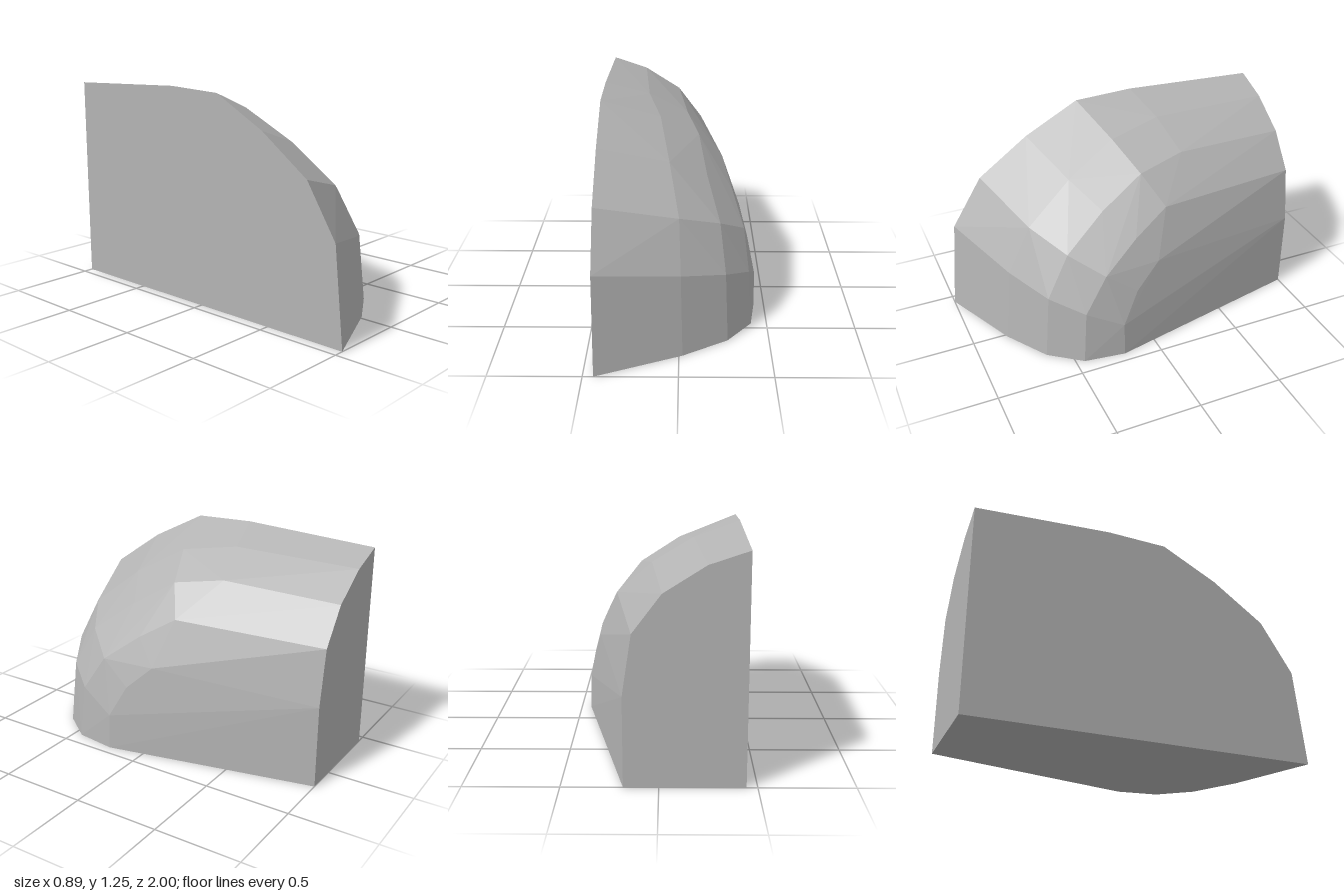
import * as THREE from 'three';
import { ConvexGeometry } from 'three/addons/geometries/ConvexGeometry.js';

export function createModel() {
  const group = new THREE.Group();
  group.name = 'cutBoulder';

  const stone = new THREE.MeshStandardMaterial({ color: 0xb4b4b4 });
  stone.name = 'stone grey';

  // Rings running from the flat cut side (x = -0.443) round to the outer flank
  const rings = [
    // base outline
    [[-0.443, 0, 1], [0.02, 0, 0.795], [0.27, 0, 0.635], [0.41, 0, 0.45], [0.443, 0, 0.21]],
    // lower shoulder
    [[-0.443, 0.555, 0.945], [0.01, 0.455, 0.75], [0.255, 0.39, 0.6], [0.392, 0.32, 0.425], [0.438, 0.21, 0.21]],
    // middle
    [[-0.443, 0.85, 0.76], [0, 0.725, 0.61], [0.225, 0.635, 0.465], [0.367, 0.53, 0.29], [0.398, 0.4, 0.11]],
    // upper shoulder
    [[-0.443, 1.065, 0.46], [-0.055, 0.945, 0.34], [0.155, 0.825, 0.22], [0.303, 0.69, 0.08], [0.355, 0.54, -0.04]],
    // brow
    [[-0.443, 1.235, 0.137], [-0.11, 1.115, 0.047], [0.11, 0.985, -0.035], [0.25, 0.82, -0.13]],
    // crest
    [[-0.443, 1.247, -0.21], [-0.185, 1.162, -0.27], [0.045, 1.03, -0.32]],
    // flat rear cut
    [[-0.443, 1.21, -1], [-0.235, 1.14, -1], [-0.015, 1, -1], [0.135, 0.8, -1], [0.183, 0.48, -1], [0.181, 0, -1], [-0.443, 0, -1]],
  ];
  const points = rings.flat().map((p) => new THREE.Vector3(...p));

  // Faceted rock body closed by the flat side, rear and base
  const rock = new THREE.Mesh(new ConvexGeometry(points), stone);
  rock.name = 'rockBody';
  group.add(rock);
  return group;
}
